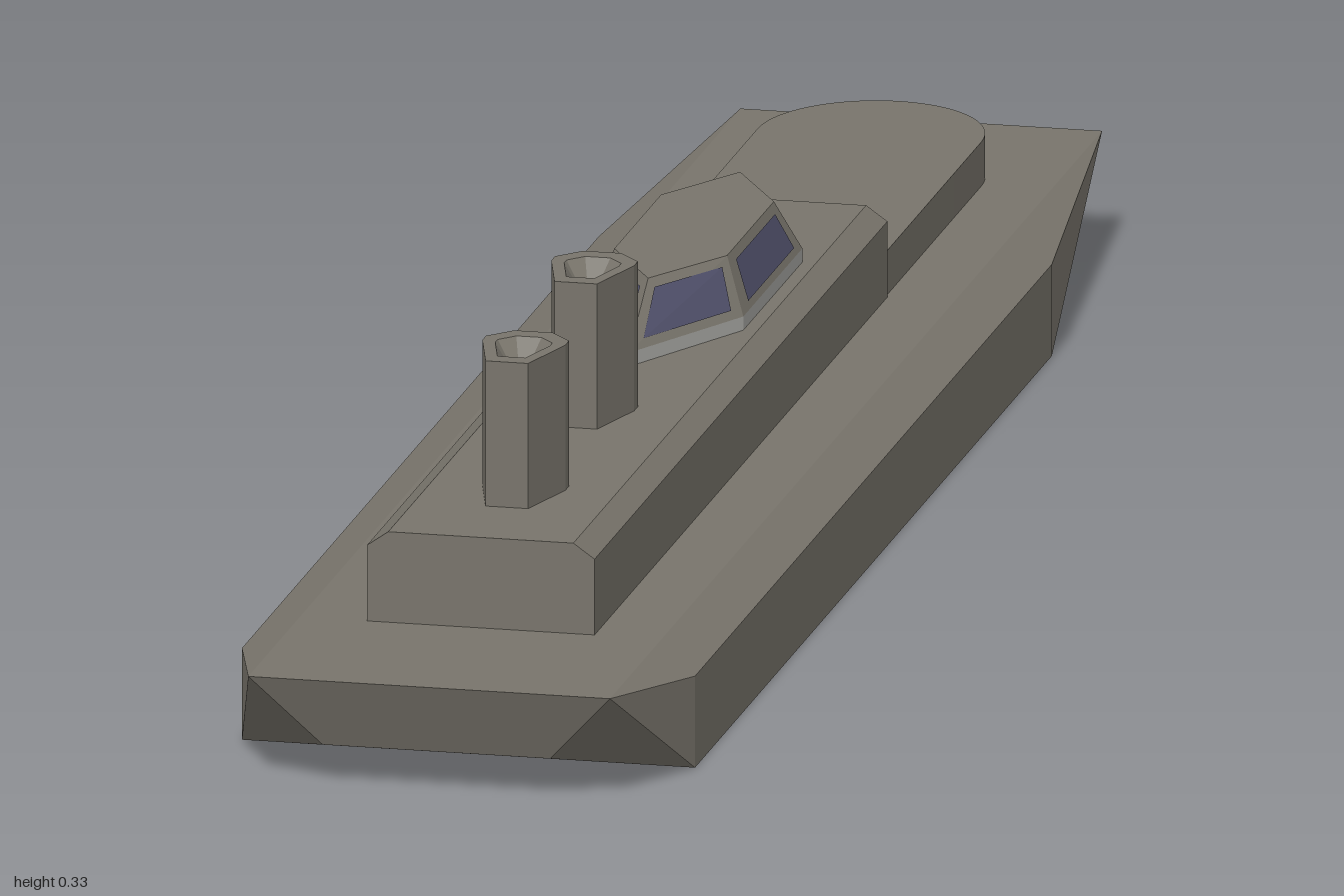
import * as THREE from 'three';
import { ConvexGeometry } from 'three/addons/geometries/ConvexGeometry.js';
import { toCreasedNormals } from 'three/addons/utils/BufferGeometryUtils.js';

const paint = new THREE.MeshStandardMaterial({ color: 0x78746b });
const trim = new THREE.MeshStandardMaterial({ color: 0xa8a8a4 });
const glass = new THREE.MeshStandardMaterial({ color: 0x50506a });

function add(parent, name, geometry, material = paint) {
  const mesh = new THREE.Mesh(geometry, material);
  mesh.name = name;
  parent.add(mesh);
  return mesh;
}

// Flat-faced geometry from a list of triangles or quads of Vector3
function fromFaces(faces) {
  const pts = [];
  for (const f of faces) {
    for (let i = 1; i < f.length - 1; i++) pts.push(f[0], f[i], f[i + 1]);
  }
  const geometry = new THREE.BufferGeometry().setFromPoints(pts);
  geometry.computeVertexNormals();
  return geometry;
}

// Horizontal ring of [x, z] points at height y, counterclockwise from above
const ring = (points, y) => points.map(([x, z]) => new THREE.Vector3(x, y, z));

// Side quads between successive rings
function sides(rings) {
  const faces = [];
  for (let r = 0; r < rings.length - 1; r++) {
    const low = rings[r], up = rings[r + 1], n = low.length;
    for (let i = 0; i < n; i++) {
      const j = (i + 1) % n;
      faces.push([low[i], low[j], up[j], up[i]]);
    }
  }
  return faces;
}

// Pointed hexagon outline: half width, half flat length, half total length
const hexagon = (w, flat, tip) => [
  [w, flat], [w, -flat], [0, -tip], [-w, -flat], [-w, flat], [0, tip],
];

function createHull() {
  const corners = [];
  for (const s of [-1, 1]) {
    for (const [x, y, z] of [
      [0.17, 0.106, 1], [0.213, 0.087, 0.84], [0.213, 0, 0.84], [0.107, 0.037, 0.97],
      [0.17, 0.106, -1], [0.213, 0.087, -0.61], [0.213, 0, -0.61], [0.107, 0.037, -0.93],
    ]) corners.push(new THREE.Vector3(s * x, y, z));
  }
  return new ConvexGeometry(corners);
}

// Long cabin block with chamfered upper edges
function createDeckhouse() {
  const profile = new THREE.Shape([
    [-0.107, 0.1], [0.107, 0.1], [0.107, 0.178],
    [0.087, 0.192], [-0.087, 0.192], [-0.107, 0.178],
  ].map(([x, y]) => new THREE.Vector2(x, y)));
  return new THREE.ExtrudeGeometry(profile, { depth: 1.19, bevelEnabled: false })
    .translate(0, 0, -0.4);
}

// Low platform with a rounded end
function createPlatform() {
  const outline = new THREE.Shape();
  outline.moveTo(-0.105, 0.38);
  outline.lineTo(0.105, 0.38);
  outline.lineTo(0.105, 0.79);
  outline.absellipse(0, 0.79, 0.105, 0.12, 0, Math.PI, false, 0);
  outline.lineTo(-0.105, 0.38);
  const geometry = new THREE.ExtrudeGeometry(outline, {
    depth: 0.048, bevelEnabled: false, curveSegments: 24,
  });
  geometry.rotateX(-Math.PI / 2).translate(0, 0.1, 0);
  return toCreasedNormals(geometry, 0.5);
}

// Bridge: vertical base strip, sloped window band, flat roof
function createBridge() {
  const bridge = new THREE.Group();
  bridge.name = 'bridge';
  bridge.position.z = -0.077;
  const outer = hexagon(0.074, 0.12, 0.265);
  const base = ring(outer, 0.188), sill = ring(outer, 0.205);
  const roof = ring(hexagon(0.053, 0.095, 0.187), 0.255);
  const band = sides([sill, roof]);
  add(bridge, 'bridgeBase', fromFaces(sides([base, sill])), trim);
  add(bridge, 'bridgeWalls', fromFaces([...band, roof]));

  // One inset pane on each sloped wall
  const panes = band.map(([a, b, c, d]) => {
    const normal = b.clone().sub(a).cross(d.clone().sub(a)).normalize();
    const at = (u, v) => a.clone().lerp(b, u)
      .lerp(d.clone().lerp(c, u), v).addScaledVector(normal, 0.0015);
    return [at(0.1, 0.14), at(0.9, 0.14), at(0.9, 0.84), at(0.1, 0.84)];
  });
  add(bridge, 'bridgeWindows', fromFaces(panes), glass);
  return bridge;
}

// Faceted funnel with a sunken, tapering mouth
function createFunnel() {
  const outline = [
    [0.02, 0.054], [0.039, -0.015], [0.039, -0.03], [0.018, -0.054],
    [-0.018, -0.054], [-0.039, -0.03], [-0.039, -0.015], [-0.02, 0.054],
  ];
  const scaled = (s) => outline.map(([x, z]) => [x * s, z * s]);
  return fromFaces(sides([
    ring(outline, 0.188), ring(outline, 0.33),
    ring(scaled(0.66), 0.33), ring(scaled(0.01), 0.295),
  ]));
}

export function createModel() {
  const ship = new THREE.Group();
  ship.name = 'ship';
  add(ship, 'hull', createHull());
  add(ship, 'deckhouse', createDeckhouse());
  add(ship, 'roundedPlatform', createPlatform());
  ship.add(createBridge());
  const funnel = createFunnel();
  for (const z of [0.35, 0.63]) add(ship, 'funnel', funnel).position.z = z;
  return ship;
}
